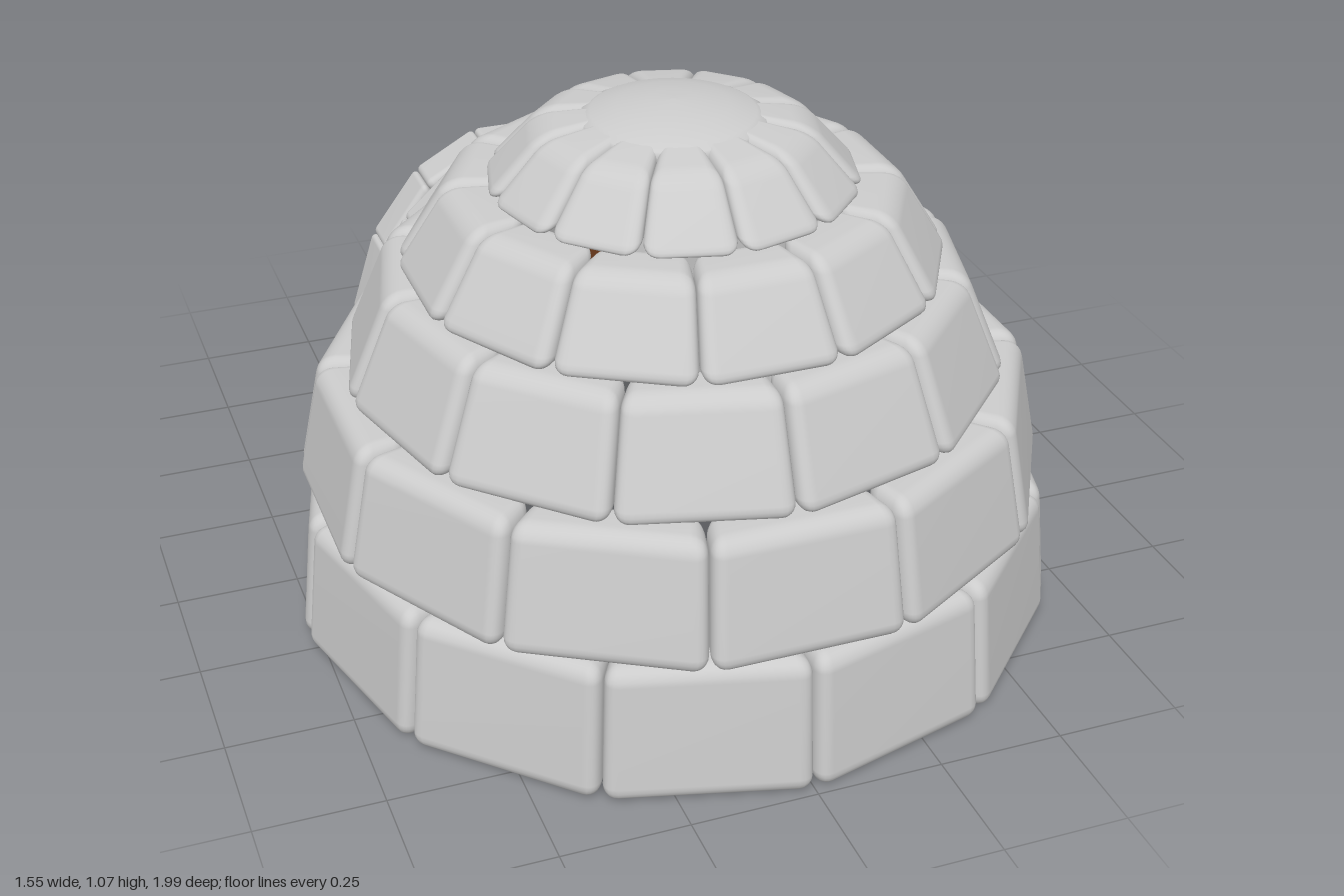
import * as THREE from 'three';
import { RoundedBoxGeometry } from 'three/addons/geometries/RoundedBoxGeometry.js';
import { mergeGeometries, mergeVertices } from 'three/addons/utils/BufferGeometryUtils.js';

const DOME_Z = 0.22;
const lerp = THREE.MathUtils.lerp;

// Rounded block of about the given size, reshaped by a rule (u, v, w in 0..1 -> point)
function block(size, radius, rule) {
  const box = new RoundedBoxGeometry(...size, 3, radius);
  box.deleteAttribute('normal');
  box.deleteAttribute('uv');
  const geo = mergeVertices(box, 1e-4);
  const pos = geo.attributes.position;
  for (let i = 0; i < pos.count; i++) {
    const p = rule(pos.getX(i) / size[0] + 0.5, pos.getY(i) / size[1] + 0.5, pos.getZ(i) / size[2] + 0.5);
    pos.setXYZ(i, ...p);
  }
  geo.computeVertexNormals();
  return geo;
}

// Straight-sided block in a ring of twelve; radii are measured to the flat face
function domeBlock(angle, row) {
  const { y0, y1, r0, r1, thick, rise = 0 } = row;
  const half = Math.tan(Math.PI / 12);
  const size = [(r0 + r1) * half, Math.hypot(y1 - y0, r0 - r1), thick];
  return block(size, 0.034, (u, v, w) => {
    const r = lerp(r0, r1, v) - thick * (1 - w);
    const side = (2 * u - 1) * half * r * 0.995;
    const s = Math.sin(angle), c = Math.cos(angle);
    return [s * r + c * side, lerp(y0, y1, v) + rise * (1 - w), DOME_Z + c * r - s * side];
  });
}

// Tunnel block between two angles measured from the crown of the arch
function tunnelBlock(t0, t1, zFront, depth) {
  const point = (t, w) => [Math.sin(t) * lerp(0.32, 0.408, w), 0.01 + Math.cos(t) * lerp(0.455, 0.548, w)];
  const a = point(t0, 1), b = point(t1, 1);
  const length = Math.hypot(a[0] - b[0], a[1] - b[1]);
  return block([length, depth, 0.09], 0.016, (u, v, w) => {
    const p = point(t0, w), q = point(t1, w);
    return [lerp(p[0], q[0], u), lerp(p[1], q[1], u), zFront + depth * (1 - v)];
  });
}

// Arched door slab: a box bent to a half ellipse, its outer face rippled in planks
function doorGeometry() {
  const geo = new THREE.BoxGeometry(2, 1, 1, 72, 16, 1);
  geo.deleteAttribute('normal');
  geo.deleteAttribute('uv');
  const welded = mergeVertices(geo);
  const pos = welded.attributes.position;
  for (let i = 0; i < pos.count; i++) {
    const s = pos.getX(i), t = pos.getY(i) + 0.5;
    const ripple = 0.018 * Math.abs(Math.sin(s * Math.PI * 4.5));
    pos.setXYZ(i,
      0.335 * s * Math.sqrt(1 - t * t / 2),
      0.015 + 0.44 * t * Math.sqrt(1 - s * s / 2),
      pos.getZ(i) < 0 ? -0.957 - ripple : -0.915);
  }
  // Separate faces again so that the slab keeps a sharp rim
  welded.computeVertexNormals();
  const flat = welded.toNonIndexed();
  const n = flat.attributes.normal, p = flat.attributes.position;
  const a = new THREE.Vector3(), b = new THREE.Vector3(), c = new THREE.Vector3();
  for (let i = 0; i < p.count; i += 3) {
    a.fromBufferAttribute(p, i);
    b.fromBufferAttribute(p, i + 1).sub(a);
    c.fromBufferAttribute(p, i + 2).sub(a);
    b.cross(c).normalize();
    for (let k = 0; k < 3; k++) n.setXYZ(i + k, b.x, b.y, b.z);
  }
  return flat;
}

export function createModel() {
  const model = new THREE.Group();
  const snow = new THREE.MeshStandardMaterial({ color: 0xcccccc });
  const wood = new THREE.MeshStandardMaterial({ color: 0x6b3a1c });
  const brass = new THREE.MeshStandardMaterial({ color: 0xc08a2c });
  const add = (name, geo, mat, parent = model) => {
    const mesh = new THREE.Mesh(geo, mat);
    mesh.name = name;
    parent.add(mesh);
    return mesh;
  };

  // Dome: five rings with staggered joints, left open where the tunnel enters
  const dome = new THREE.Group();
  dome.name = 'dome';
  model.add(dome);
  const rows = [
    { y0: 0.0, y1: 0.28, r0: 0.758, r1: 0.732, thick: 0.11 },
    { y0: 0.275, y1: 0.528, r0: 0.737, r1: 0.688, thick: 0.11 },
    { y0: 0.522, y1: 0.743, r0: 0.65, r1: 0.56, thick: 0.11 },
    { y0: 0.738, y1: 0.91, r0: 0.535, r1: 0.43, thick: 0.12 },
    { y0: 0.903, y1: 1.028, r0: 0.372, r1: 0.26, thick: 0.13, rise: 0.02 },
  ];
  rows.forEach((row, k) => {
    const blocks = [];
    for (let i = 0; i < 12; i++) {
      const angle = (i + (k % 2 ? 0 : 0.5)) * Math.PI / 6;
      const fromBack = Math.abs(angle - Math.PI);
      if ((k === 0 && fromBack < 0.3) || (k === 1 && fromBack < 0.1)) continue;
      blocks.push(domeBlock(angle, row));
    }
    add('domeRow' + (k + 1), mergeGeometries(blocks), snow, dome);
  });

  // Round cap stone
  const capProfile = [[0, 0.96], [0.16, 0.96], [0.178, 0.98], [0.183, 1.025], [0.178, 1.037],
    [0.16, 1.046], [0.11, 1.06], [0.05, 1.068], [0, 1.07]].map(([x, y]) => new THREE.Vector2(x, y));
  add('capStone', new THREE.LatheGeometry(capProfile, 36), snow, dome).position.z = DOME_Z;

  // Entrance tunnel: five arches with staggered joints
  const tunnel = new THREE.Group();
  tunnel.name = 'tunnel';
  model.add(tunnel);
  const step = Math.PI / 8;
  for (let k = 0; k < 5; k++) {
    const joints = [-4];
    for (let j = k % 2 ? -3 : -3.5; j < 4; j++) joints.push(j);
    joints.push(4);
    const blocks = joints.slice(1).map((j, i) =>
      tunnelBlock(joints[i] * step, j * step, -0.932 + k * 0.11, 0.108));
    add('tunnelArch' + (k + 1), mergeGeometries(blocks), snow, tunnel);
  }

  // Door and its knob
  add('door', doorGeometry(), wood);
  const knob = new THREE.Group();
  knob.name = 'doorKnob';
  knob.position.set(-0.17, 0.208, 0);
  model.add(knob);
  for (const [name, r, z, len] of [['knobStem', 0.018, -0.968, 0.04], ['knobHead', 0.028, -0.988, 0.024]]) {
    const part = add(name, new THREE.CylinderGeometry(r, r, len, 16), brass, knob);
    part.rotation.x = Math.PI / 2;
    part.position.z = z;
  }
  return model;
}
